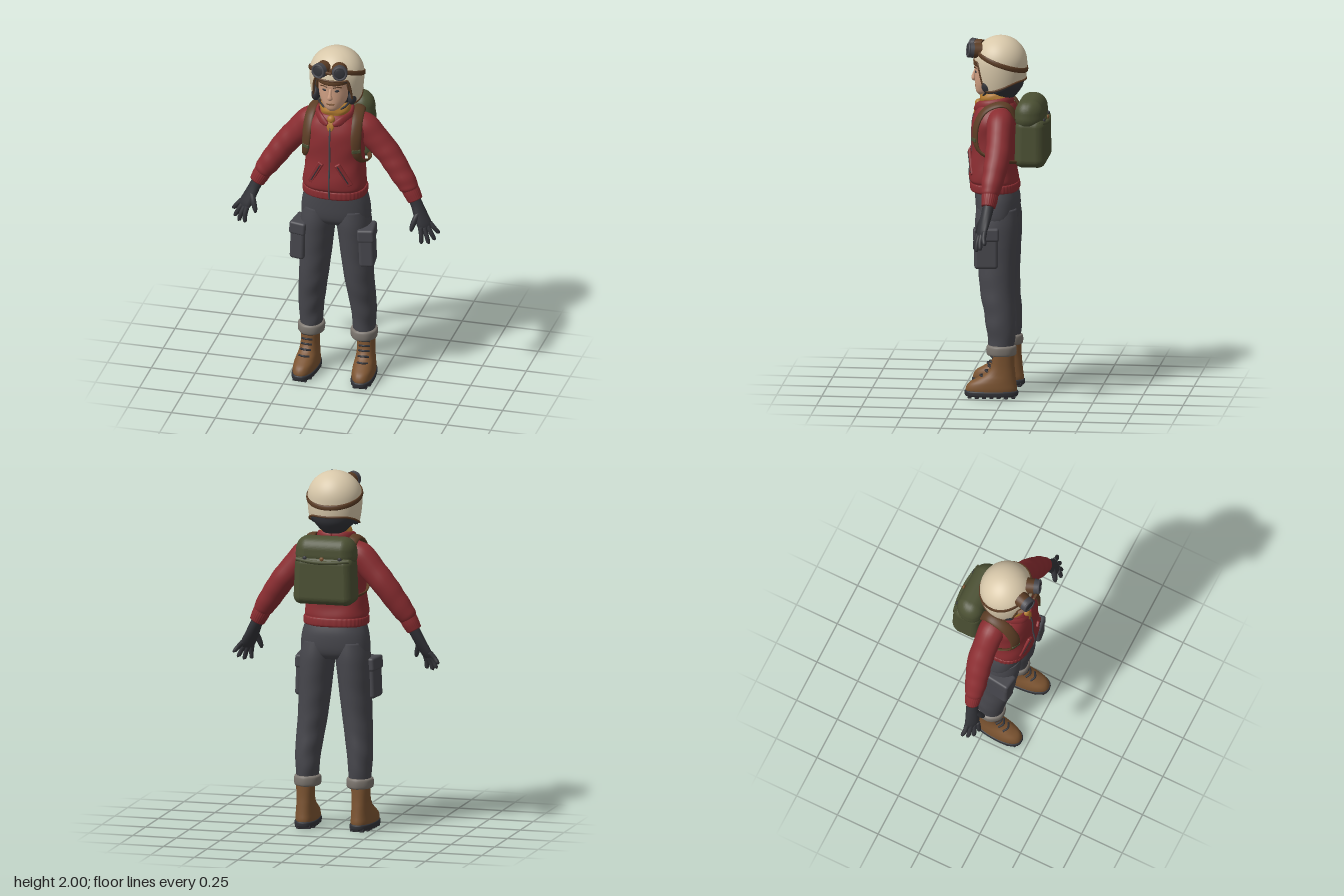
import * as THREE from 'three';
import { RoundedBoxGeometry } from 'three/addons/geometries/RoundedBoxGeometry.js';

const V = (x, y, z) => new THREE.Vector3(x, y, z);
const mat = (name, color) => {
  const m = new THREE.MeshStandardMaterial({ color, side: THREE.DoubleSide });
  m.name = name;
  return m;
};

// Closed surface through a list of rings, with both ends capped
function skin(rings) {
  const n = rings[0].length, pos = [], idx = [];
  const mid = r => r.reduce((a, p) => a.add(p), V(0, 0, 0)).divideScalar(n);
  const all = [rings[0].map(() => mid(rings[0])), ...rings, rings[0].map(() => mid(rings.at(-1)))];
  all.forEach(r => r.forEach(p => pos.push(p.x, p.y, p.z)));
  for (let i = 0; i < all.length - 1; i++) for (let j = 0; j < n; j++) {
    const a = i * n + j, b = i * n + (j + 1) % n, c = a + n, d = b + n;
    idx.push(a, c, b, b, c, d);
  }
  const g = new THREE.BufferGeometry();
  g.setAttribute('position', new THREE.Float32BufferAttribute(pos, 3));
  g.setIndex(idx);
  g.computeVertexNormals();
  return g;
}

// Smooth interpolation of number rows
function sample(rows, steps) {
  const out = [], at = i => rows[Math.max(0, Math.min(rows.length - 1, i))];
  for (let i = 0; i < rows.length - 1; i++) for (let k = 0; k < steps; k++) {
    const t = k / steps;
    out.push(rows[i].map((p1, c) => {
      const p0 = at(i - 1)[c], p2 = at(i + 1)[c], p3 = at(i + 2)[c];
      return p1 + 0.5 * t * (p2 - p0 + t * (2 * p0 - 5 * p1 + 4 * p2 - p3 + t * (3 * (p1 - p2) + p3 - p0)));
    }));
  }
  return [...out, rows.at(-1)];
}
const spow = (v, n) => Math.sign(v) * Math.abs(v) ** (2 / n);
const angles = n => Array.from({ length: n }, (_, j) => j / n * Math.PI * 2);

// Upright body, rows of [y, cx, cz, rx, rz] from bottom to top
function loft(rows, { n = 2, seg = 32, steps = 5, fold = () => 0 } = {}) {
  return skin(sample(rows, steps).map(([y, cx, cz, rx, rz]) => angles(seg).map(a => {
    const k = 1 + fold(y, a);
    return V(cx + rx * k * spow(Math.cos(a), n), y, cz + rz * k * spow(Math.sin(a), n));
  })));
}

// Limb or band, rows of [x, y, z, width, thickness]; ref(p) gives the thickness direction
function limb(rows, { ref = () => V(0, 0.1, 1), seg = 14, steps = 5, fold = () => 0 } = {}) {
  const s = sample(rows, steps), p = s.map(r => V(r[0], r[1], r[2]));
  return skin(s.map((r, i) => {
    const T = p[Math.min(i + 1, p.length - 1)].clone().sub(p[Math.max(i - 1, 0)]).normalize();
    const A = T.clone().cross(ref(p[i])).normalize(), B = A.clone().cross(T);
    return angles(seg).map(a => {
      const k = 1 + fold(i / (s.length - 1), a);
      return p[i].clone().addScaledVector(A, r[3] * k * Math.cos(a)).addScaledVector(B, r[4] * k * Math.sin(a));
    });
  }));
}

// Helmet surface: dome above, tapering skirt below
const HY = 1.853, HR = 0.147;
function helmetPoint(phi, y, s = 1) {
  const d = y - HY, k = s * (d > 0 ? Math.sqrt(Math.max(0, 1 - (d / HR) ** 2)) : 1 - 5.5 * d * d);
  return V(0.152 * k * Math.sin(phi), y, 0.04 + 0.146 * k * Math.cos(phi));
}
function helmetEdge(phi) {
  const a = Math.abs(Math.atan2(Math.sin(phi), Math.cos(phi)));
  const drop = THREE.MathUtils.smoothstep(a, 0.62, 1.0), back = THREE.MathUtils.smoothstep(a, 1.1, 2.6);
  return 1.862 - 0.155 * drop + 0.055 * back;
}
function shell(s, lower) {
  const rings = [], N = 96;
  for (let i = 1; i <= 28; i++) rings.push(angles(N).map(phi => {
    const low = helmetEdge(phi) - lower, d = (low - HY) / HR;
    const a = (d > 0 ? Math.acos(d) : Math.PI / 2 - d) * i / 28;
    return helmetPoint(phi, a < Math.PI / 2 ? HY + HR * s * Math.cos(a) : HY - (a - Math.PI / 2) * HR, s);
  }));
  const g = skin(rings.reverse());
  g.setIndex([...g.index.array].slice(96 * 6)); // leave the underside open
  g.computeVertexNormals();
  return g;
}

export function createModel() {
  const root = new THREE.Group();
  const cream = mat('cream', 0xd8c8aa), red = mat('jacket red', 0x8a2d31), charcoal = mat('charcoal', 0x47474d),
    black = mat('soft black', 0x323338), olive = mat('olive', 0x4b5033), tan = mat('boot leather', 0x7c5431),
    brown = mat('dark brown', 0x5c3d25), mustard = mat('mustard', 0xb0792f), flesh = mat('skin', 0xd0a083),
    grey = mat('cuff grey', 0x7c766f);
  const add = (name, geo, m, pos = [0, 0, 0], rot = [0, 0, 0], scale = [1, 1, 1], parent = root) => {
    const o = new THREE.Mesh(geo, m);
    o.name = name;
    o.position.set(...pos); o.rotation.set(...rot); o.scale.set(...scale);
    parent.add(o);
    return o;
  };
  const box = (w, h, d, r = 0.01) => new RoundedBoxGeometry(w, h, d, 4, r);
  const ball = new THREE.SphereGeometry(1, 20, 14);
  const tube = (pts, r, closed = false) => new THREE.TubeGeometry(
    new THREE.CatmullRomCurve3(pts.map(p => p.isVector3 ? p : V(...p)), closed), pts.length * 4, r, 8, closed);

  // Head and face
  add('head', loft([[1.667, 0, 0.13, 0.022, 0.03], [1.685, 0, 0.115, 0.05, 0.06], [1.715, 0, 0.1, 0.07, 0.08],
    [1.75, 0, 0.092, 0.083, 0.089], [1.8, 0, 0.085, 0.09, 0.096], [1.86, 0, 0.08, 0.092, 0.1], [1.93, 0, 0.06, 0.06, 0.07]]), flesh);
  add('hair', loft([[1.832, 0, 0.083, 0.094, 0.1], [1.84, 0, 0.083, 0.1, 0.108], [1.87, 0, 0.075, 0.105, 0.108], [1.91, 0, 0.05, 0.08, 0.09]]), brown);
  add('nose', limb([[0, 1.812, 0.176, 0.007, 0.007], [0, 1.78, 0.187, 0.009, 0.01], [0, 1.758, 0.19, 0.015, 0.012], [0, 1.748, 0.18, 0.01, 0.006]]), flesh);
  add('lips', ball, tan, [0, 1.717, 0.177], [0, 0, 0], [0.024, 0.007, 0.006]);
  for (const s of [1, -1]) {
    add('eye', ball, black, [0.036 * s, 1.8, 0.173], [0, 0.35 * s, 0], [0.013, 0.007, 0.004]);
    add('eyebrow', tube([[0.016 * s, 1.82, 0.183], [0.038 * s, 1.825, 0.174], [0.058 * s, 1.818, 0.159]], 0.004), brown);
    add('sideHair', limb([[0.085 * s, 1.85, 0.13, 0.012, 0.014], [0.09 * s, 1.8, 0.115, 0.011, 0.014], [0.088 * s, 1.765, 0.1, 0.003, 0.003]]), brown);
    add('cheekPad', ball, black, [0.103 * s, 1.735, 0.095], [0, 0, 0], [0.024, 0.042, 0.04]);
  }

  // Helmet with liner, trim and chin strap
  add('helmetShell', shell(1, 0), cream);
  add('helmetLiner', shell(0.95, 0.014), black);
  add('helmetTrim', tube(angles(80).map(a => helmetPoint(a, helmetEdge(a))), 0.006, true), brown);
  add('napePadding', loft([[1.66, 0, 0.04, 0.06, 0.065], [1.69, 0, 0.035, 0.09, 0.085], [1.73, 0, 0.035, 0.118, 0.108], [1.79, 0, 0.04, 0.13, 0.12]].map(
    ([y, x, z, a, b]) => [y, x, z - 0.012, a, b])), black);
  add('chinStrap', tube([[0.105, 1.74, 0.1], [0.075, 1.69, 0.115], [0.03, 1.665, 0.135], [-0.03, 1.665, 0.135], [-0.075, 1.69, 0.115], [-0.105, 1.74, 0.1]], 0.006), black);

  // Goggles
  const strapRows = [...angles(32), Math.PI * 2].map(a => {
    const p = helmetPoint(a, 1.867 + 0.052 * Math.cos(a), 1.012);
    return [p.x, p.y, p.z, 0.014, 0.005];
  });
  add('goggleStrap', limb(strapRows, { ref: p => V(p.x, 0, p.z - 0.04), steps: 2, seg: 10 }), brown);
  for (const s of [1, -1]) {
    const g = new THREE.Group();
    g.name = 'goggleCup';
    g.position.set(0.056 * s, 1.925, 0.19);
    g.rotation.set(-0.12, 0.3 * s, 0);
    root.add(g);
    add('gogglePadding', new THREE.CylinderGeometry(0.04, 0.045, 0.05, 28), brown, [0, 0, -0.022], [Math.PI / 2, 0, 0], [1, 1, 1], g);
    add('goggleFrame', new THREE.CylinderGeometry(0.04, 0.043, 0.025, 28), charcoal, [0, 0, 0.008], [Math.PI / 2, 0, 0], [1, 1, 1], g);
    add('goggleRim', new THREE.TorusGeometry(0.035, 0.007, 10, 28), charcoal, [0, 0, 0.021], [0, 0, 0], [1, 1, 1], g);
    add('goggleLens', ball, black, [0, 0, 0.02], [0, 0, 0], [0.032, 0.032, 0.007], g);
  }
  add('goggleBridge', box(0.035, 0.016, 0.016, 0.005), brown, [0, 1.925, 0.215]);

  // Scarf
  add('scarf', loft([[1.58, 0, 0.07, 0.095, 0.095], [1.61, 0, 0.07, 0.092, 0.092], [1.63, 0, 0.068, 0.083, 0.084], [1.655, 0, 0.068, 0.088, 0.088],
    [1.68, 0, 0.066, 0.08, 0.08], [1.69, 0, 0.066, 0.065, 0.065]], { fold: (y, a) => 0.02 * Math.sin(5 * a + y * 90) }), mustard);
  add('scarfKnot', ball, mustard, [0, 1.617, 0.163], [0, 0, 0], [0.022, 0.024, 0.02]);
  for (const s of [1, -1]) add('scarfTail', limb([[0, 1.61, 0.168, 0.012, 0.008], [0.006 * s, 1.585, 0.178, 0.017, 0.008], [0.005 * s, 1.555, 0.186, 0.006, 0.004]]), mustard);

  // Jacket body
  const cloth = (y, a) => 0.012 * Math.sin(38 * y + 3 * a) * Math.sin(2 * a + 9 * y);
  add('jacketBody', loft([[1.135, 0, 0.07, 0.165, 0.122], [1.145, 0, 0.07, 0.174, 0.13], [1.185, 0, 0.072, 0.172, 0.13], [1.205, 0, 0.077, 0.177, 0.134],
    [1.26, 0, 0.08, 0.172, 0.13], [1.36, 0, 0.076, 0.163, 0.124], [1.46, 0, 0.075, 0.165, 0.124], [1.53, 0, 0.072, 0.168, 0.122],
    [1.58, 0, 0.066, 0.15, 0.114], [1.615, 0, 0.064, 0.115, 0.1], [1.635, 0, 0.066, 0.085, 0.085]], { n: 2.4, seg: 48, fold: cloth }), red);
  add('jacketHem', loft([[1.14, 0, 0.07, 0.172, 0.127], [1.147, 0, 0.07, 0.179, 0.134], [1.18, 0, 0.071, 0.179, 0.134], [1.187, 0, 0.071, 0.172, 0.128]],
    { n: 2.4, seg: 160, fold: (y, a) => 0.008 * Math.sin(40 * a) }), red);
  add('zip', tube([[0, 1.145, 0.203], [0, 1.21, 0.212], [0, 1.28, 0.21], [0, 1.36, 0.2], [0, 1.46, 0.199], [0, 1.53, 0.194], [0, 1.58, 0.181]], 0.005), charcoal);
  for (const s of [1, -1]) {
    add('collarFlap', limb([[0.015 * s, 1.59, 0.178, 0.012, 0.01], [0.06 * s, 1.61, 0.155, 0.028, 0.012], [0.096 * s, 1.628, 0.09, 0.025, 0.012], [0.075 * s, 1.64, 0.01, 0.025, 0.012], [0, 1.64, -0.022, 0.025, 0.012]],
      { ref: p => V(p.x, 0.01, p.z - 0.065) }), red);
    add('pocketWelt', box(0.034, 0.15, 0.016, 0.006), red, [0.08 * s, 1.3, 0.196], [0.05, 0.25 * s, 0.5 * s]);
    add('pocketOpening', box(0.006, 0.125, 0.008, 0.002), black, [0.077 * s, 1.301, 0.204], [0.05, 0.25 * s, 0.5 * s]);

    // Sleeve and knitted cuff
    add('sleeve', limb([[0.1 * s, 1.55, 0.03, 0.065, 0.07], [0.155 * s, 1.53, 0.025, 0.077, 0.074], [0.22 * s, 1.46, 0.022, 0.073, 0.07],
      [0.29 * s, 1.38, 0.022, 0.068, 0.07], [0.35 * s, 1.295, 0.034, 0.064, 0.064], [0.405 * s, 1.215, 0.046, 0.056, 0.054], [0.425 * s, 1.18, 0.05, 0.042, 0.04]],
      { seg: 24, steps: 8, fold: (t, a) => 0.04 * Math.sin(44 * t + 1.5 * Math.cos(a)) * t * (0.6 + 0.4 * Math.sin(a)) }), red);
    add('sleeveCuff', limb([[0.416 * s, 1.195, 0.048, 0.048, 0.045], [0.432 * s, 1.165, 0.05, 0.047, 0.044], [0.45 * s, 1.13, 0.054, 0.042, 0.038]],
      { seg: 96, fold: (t, a) => 0.015 * Math.sin(24 * a) }), red);

    // Glove
    const palm = { ref: () => V(0.5 * s, 0.4, 0.75) };
    const glove = rows => limb(rows.map(([x, ...r]) => [x * s, ...r]), palm);
    add('glovePalm', glove([[0.437, 1.15, 0.052, 0.034, 0.032], [0.462, 1.1, 0.06, 0.035, 0.029], [0.487, 1.045, 0.073, 0.041, 0.025],
      [0.51, 1.0, 0.083, 0.043, 0.02], [0.52, 0.975, 0.088, 0.036, 0.013]]), black);
    const fingers = [[0.493, 0.99, 0.107, 0.502, 0.903, 0.122], [0.51, 0.985, 0.095, 0.538, 0.9, 0.108],
      [0.526, 0.99, 0.081, 0.565, 0.915, 0.085], [0.535, 1.005, 0.064, 0.581, 0.945, 0.06]];
    for (const [x, y, z, u, v, w] of fingers) add('gloveFinger', glove([[x, y, z, 0.014, 0.014],
      [(x + u) / 2 + 0.004, (y + v) / 2, (z + w) / 2 + 0.004, 0.013, 0.013], [u, v + 0.006, w, 0.011, 0.011], [u, v, w, 0.006, 0.006]]), black);
    add('gloveThumb', glove([[0.478, 1.075, 0.075, 0.016, 0.016], [0.46, 1.03, 0.102, 0.016, 0.016], [0.446, 0.985, 0.115, 0.013, 0.013], [0.443, 0.965, 0.118, 0.006, 0.006]]), black);

    // Trouser leg, rolled cuff and cargo pocket
    add('trouserLeg', loft([[0.25, 0.15 * s, 0.018, 0.058, 0.066], [0.3, 0.15 * s, 0.018, 0.062, 0.072], [0.38, 0.15 * s, 0.02, 0.068, 0.08], [0.48, 0.143 * s, 0.03, 0.075, 0.086],
      [0.6, 0.13 * s, 0.044, 0.081, 0.095], [0.75, 0.117 * s, 0.048, 0.088, 0.104], [0.88, 0.108 * s, 0.05, 0.094, 0.114], [0.97, 0.1 * s, 0.052, 0.097, 0.118], [1.05, 0.092 * s, 0.053, 0.09, 0.11]],
      { seg: 36, fold: (y, a) => 0.03 * Math.max(0, 0.95 - y) * Math.sin(46 * y + 2 * Math.sin(a + s)) * (1 + Math.sin(2 * a)) }), charcoal);
    add('rolledCuff', loft([[0.236, 0.15 * s, 0.018, 0.062, 0.072], [0.243, 0.15 * s, 0.018, 0.072, 0.081], [0.265, 0.15 * s, 0.018, 0.075, 0.084],
      [0.287, 0.15 * s, 0.018, 0.073, 0.081], [0.295, 0.15 * s, 0.018, 0.06, 0.07]], { fold: (y, a) => 0.012 * Math.sin(7 * a) }), grey);
    add('cargoPocket', box(0.085, 0.19, 0.13, 0.018), charcoal, [0.19 * s, 0.825, 0.098], [0, 0.12 * s, 0.04 * s]);
    add('cargoFlap', box(0.095, 0.075, 0.142, 0.014), charcoal, [0.187 * s, 0.92, 0.098], [0, 0.12 * s, 0.06 * s]);

    // Boot
    const boot = new THREE.Group();
    boot.name = 'boot';
    boot.position.x = 0.158 * s;
    boot.rotation.y = 0.07 * s;
    root.add(boot);
    const part = (name, geo, m, pos, rot) => add(name, geo, m, pos, rot, [1, 1, 1], boot);
    part('bootUpper', loft([[0.025, 0, 0.072, 0.058, 0.14], [0.05, 0, 0.072, 0.062, 0.142], [0.08, 0, 0.066, 0.06, 0.132], [0.105, 0, 0.047, 0.056, 0.11], [0.135, 0, 0.023, 0.051, 0.083],
      [0.18, 0, 0.01, 0.049, 0.066], [0.25, 0, 0.006, 0.052, 0.06]], { n: 2.3 }), tan);
    part('bootSole', loft([[0.01, 0, 0.072, 0.06, 0.142], [0.016, 0, 0.072, 0.065, 0.147], [0.034, 0, 0.072, 0.065, 0.148], [0.04, 0, 0.072, 0.06, 0.143]], { n: 2.5 }), black);
    for (let i = 0; i < 7; i++) part('soleLug', box(i % 6 ? 0.11 : 0.08, 0.02, 0.022, 0.003), black, [0, 0.01, -0.05 + i * 0.04]);
    for (let i = 0; i < 5; i++) {
      const y = 0.118 + i * 0.027, z = [0.128, 0.1, 0.084, 0.076, 0.07][i];
      part('lace', tube([[-0.03, y, z - 0.012], [0, y + 0.006, z + 0.004], [0.03, y, z - 0.012]], 0.006), black);
    }

    // Shoulder strap and buckle
    const around = { ref: p => V(p.x - 0.07 * s, p.y - 1.45, p.z - 0.05), seg: 16 };
    add('shoulderStrap', limb([[0.11, 1.56, -0.06, 0.026, 0.009], [0.122, 1.625, -0.02, 0.028, 0.011], [0.13, 1.637, 0.04, 0.03, 0.011], [0.136, 1.6, 0.115, 0.031, 0.011],
      [0.14, 1.52, 0.158, 0.031, 0.011], [0.145, 1.43, 0.162, 0.027, 0.01], [0.16, 1.375, 0.135, 0.016, 0.007], [0.178, 1.345, 0.07, 0.014, 0.006],
      [0.178, 1.33, 0, 0.014, 0.006], [0.15, 1.32, -0.07, 0.014, 0.006]].map(([x, ...r]) => [x * s, ...r]), around), brown);
    add('strapBuckle', box(0.05, 0.022, 0.016, 0.004), olive, [0.143 * s, 1.44, 0.168], [0, 0.5 * s, 0]);
  }
  add('trouserHips', loft([[0.955, 0, 0.05, 0.16, 0.085], [0.985, 0, 0.052, 0.19, 0.108], [1.03, 0, 0.053, 0.194, 0.119], [1.1, 0, 0.056, 0.185, 0.122], [1.16, 0, 0.064, 0.166, 0.116]], { n: 2.3 }), charcoal);

  // Backpack, its back face bowed outward
  const pack = (w, h, d, r, taper) => {
    const g = new RoundedBoxGeometry(w, h, d, 10, r), p = g.attributes.position;
    for (let i = 0; i < p.count; i++) {
      const x = p.getX(i), k = 1 - taper * (p.getY(i) / h + 0.5);
      p.setXYZ(i, x * k, p.getY(i), p.getZ(i) * k + (p.getZ(i) < 0 ? 0.9 * x * x : 0));
    }
    g.computeVertexNormals();
    return g;
  };
  add('backpackBody', pack(0.35, 0.27, 0.19, 0.045, 0.06), olive, [0, 1.425, -0.147]);
  add('backpackFlap', pack(0.36, 0.165, 0.175, 0.07, 0.08), olive, [0, 1.58, -0.135]);
  add('flapEdge', tube([-0.15, -0.08, 0, 0.08, 0.15].map(x => [x, 1.53 + 0.5 * x * x, -0.224 + 0.9 * x * x]), 0.011), olive);
  for (const x of [-0.1, 0, 0.1]) add('flapSnap', ball, x ? black : tan, [x, 1.55, -0.222 + 0.9 * x * x], [0, 0, 0], [0.012, 0.012, 0.007]);
  return root;
}
